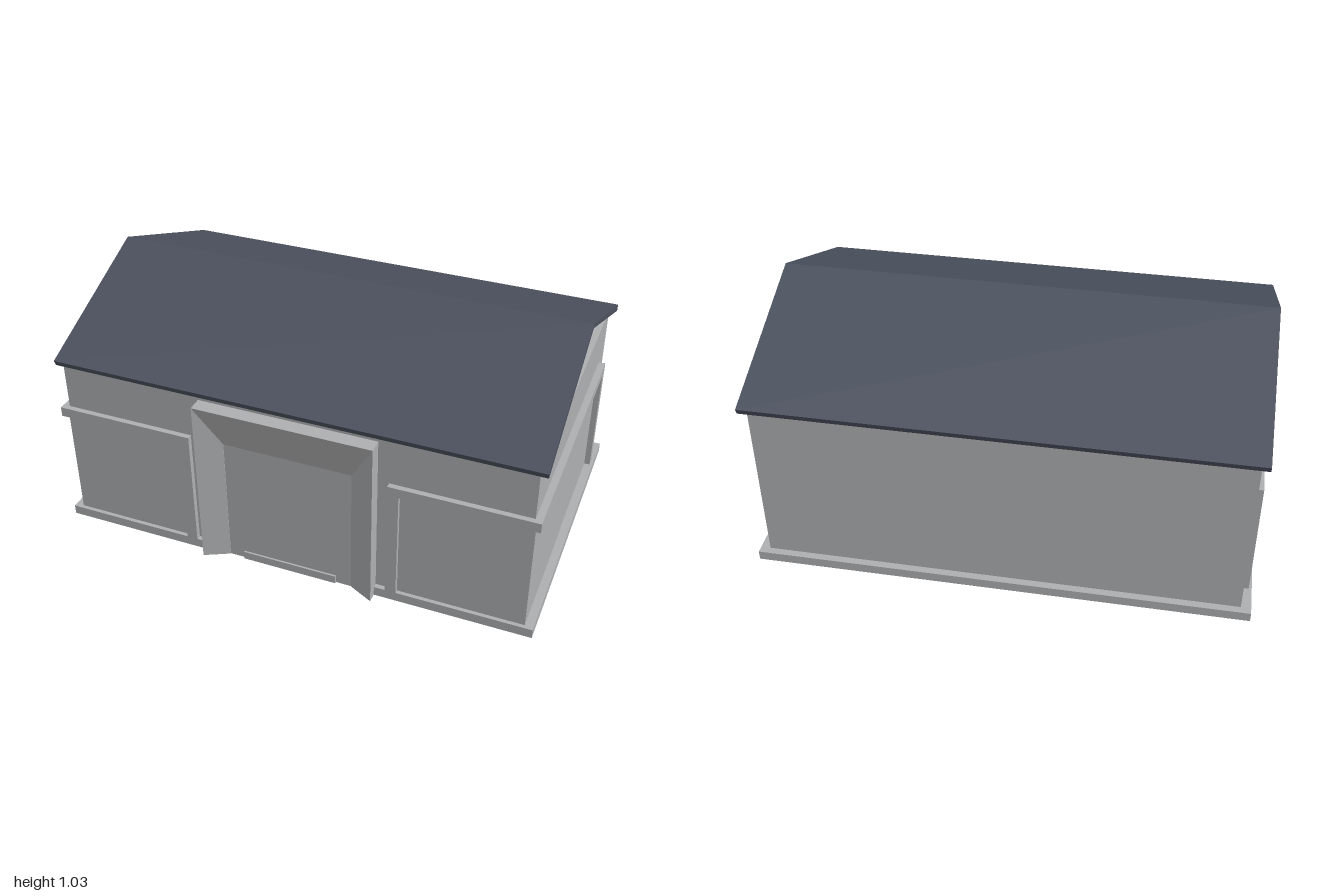
import * as THREE from 'three';

const wallMat = new THREE.MeshStandardMaterial({ color: 0xaeafb1, side: THREE.DoubleSide });
wallMat.name = 'wall grey';
const roofMat = new THREE.MeshStandardMaterial({ color: 0x4b515e, side: THREE.DoubleSide });
roofMat.name = 'slate roof';

export function createModel() {
  const model = new THREE.Group();
  model.name = 'garage';

  const add = (name, geometry, material = wallMat) => {
    const mesh = new THREE.Mesh(geometry, material);
    mesh.name = name;
    model.add(mesh);
    return mesh;
  };
  // Box given by its two extreme corners
  const box = (name, x0, x1, y0, y1, z0, z1) => {
    const g = new THREE.BoxGeometry(Math.abs(x1 - x0), y1 - y0, z1 - z0);
    g.translate((x0 + x1) / 2, (y0 + y1) / 2, (z0 + z1) / 2);
    return add(name, g);
  };
  const shapeOf = (pts) => new THREE.Shape(pts.map(([a, b]) => new THREE.Vector2(a, b)));
  // Flat outline in (x, z), laid on the ground
  const flat = (name, pts) => {
    const g = new THREE.ShapeGeometry(shapeOf(pts.map(([x, z]) => [x, -z])));
    g.rotateX(-Math.PI / 2);
    return add(name, g);
  };
  // Profile in (z, y), extruded along x and centred
  const alongX = (pts, length) => {
    const g = new THREE.ExtrudeGeometry(shapeOf(pts.map(([z, y]) => [-z, y])),
      { depth: length, bevelEnabled: false });
    g.translate(0, 0, -length / 2);
    g.rotateY(Math.PI / 2);
    return g;
  };

  // Hollow wall shell
  box('backWall', -0.96, 0.96, 0, 0.75, -0.625, -0.61);
  for (const s of [-1, 1]) {
    box('sideWall', s * 0.945, s * 0.96, 0, 0.75, -0.61, 0.6);
    box('frontWall', s * 0.265, s * 0.945, 0, 0.75, 0.585, 0.6);
  }
  box('frontWallOverDoor', -0.265, 0.265, 0.555, 0.75, 0.585, 0.6);

  // Partly open floor
  flat('floor', [[1, -0.65], [1, 0.62], [0.38, 0.62], [-0.08, -0.61], [-0.96, -0.63], [-1, -0.65]]);
  flat('floorCorner', [[-1, -0.65], [-1, 0.62], [-0.38, 0.62]]);

  // Plinth around the foot of the walls
  box('backPlinth', -1, 1, 0, 0.04, -0.655, -0.61);
  for (const s of [-1, 1]) {
    box('sidePlinth', s * 0.95, s, 0, 0.04, -0.61, 0.62);
    box('frontPlinth', s * 0.365, s * 0.95, 0, 0.04, 0.59, 0.62);
  }

  // Corner windows: panes, lintel bands and end posts
  for (const s of [-1, 1]) {
    box('frontPane', s * 0.455, s * 0.966, 0.04, 0.51, 0.597, 0.604);
    box('sidePaneFront', s * 0.957, s * 0.966, 0.04, 0.51, 0.022, 0.598);
    box('sidePaneBack', s * 0.957, s * 0.964, 0.04, 0.51, -0.48, 0.018);
    box('frontLintel', s * 0.41, s * 0.988, 0.512, 0.553, 0.59, 0.622);
    box('sideLintel', s * 0.95, s * 0.988, 0.512, 0.553, -0.52, 0.59);
    box('frontPost', s * 0.41, s * 0.455, 0.04, 0.512, 0.59, 0.622);
    box('sidePost', s * 0.95, s * 0.988, 0.04, 0.512, -0.52, -0.48);
  }

  // Splayed door surround, built as strips between U-shaped sections
  const sections = [
    { w: 0.365, h: 0.73, z: 0.59 },
    { w: 0.365, h: 0.73, z: 0.66 },
    { w: 0.265, h: 0.555, z: 0.61 },
    { w: 0.265, h: 0.555, z: 0.59 },
  ].map(({ w, h, z }) => [[-w, 0, z], [-w, h, z], [w, h, z], [w, 0, z]]);
  const pos = [];
  for (let i = 0; i < 3; i++) {
    for (let j = 0; j < 3; j++) {
      const a = sections[i][j], b = sections[i][j + 1];
      const c = sections[i + 1][j + 1], d = sections[i + 1][j];
      pos.push(...a, ...c, ...b, ...a, ...d, ...c);
    }
  }
  const surround = new THREE.BufferGeometry();
  surround.setAttribute('position', new THREE.Float32BufferAttribute(pos, 3));
  // Reverse each triangle so the normals face outwards
  const p = surround.attributes.position.array;
  for (let t = 0; t < p.length; t += 9) {
    for (let k = 0; k < 3; k++) [p[t + 3 + k], p[t + 6 + k]] = [p[t + 6 + k], p[t + 3 + k]];
  }
  surround.computeVertexNormals();
  add('doorSurround', surround);

  // Door with a low threshold
  box('door', -0.265, 0.265, 0, 0.555, 0.598, 0.608);
  box('threshold', -0.2, 0.2, 0, 0.035, 0.606, 0.616);

  // Recessed gables with the ledges in front of them
  for (const s of [-1, 1]) {
    const gable = alongX([[0.6, 0.75], [0, 1.01], [-0.625, 0.75]], 0.01);
    gable.translate(s * 0.85, 0, 0);
    add('gable', gable);
    box('gableLedge', s * 0.845, s * 0.96, 0.74, 0.75, -0.61, 0.59);
  }

  // Two roof slopes meeting at the ridge
  add('frontRoof', alongX([[0, 1.03], [0, 1.011], [0.606, 0.745], [0.617, 0.77]], 1.98), roofMat);
  add('backRoof', alongX([[0, 1.03], [-0.655, 0.77], [-0.645, 0.745], [0, 1.011]], 1.98), roofMat);

  return model;
}
